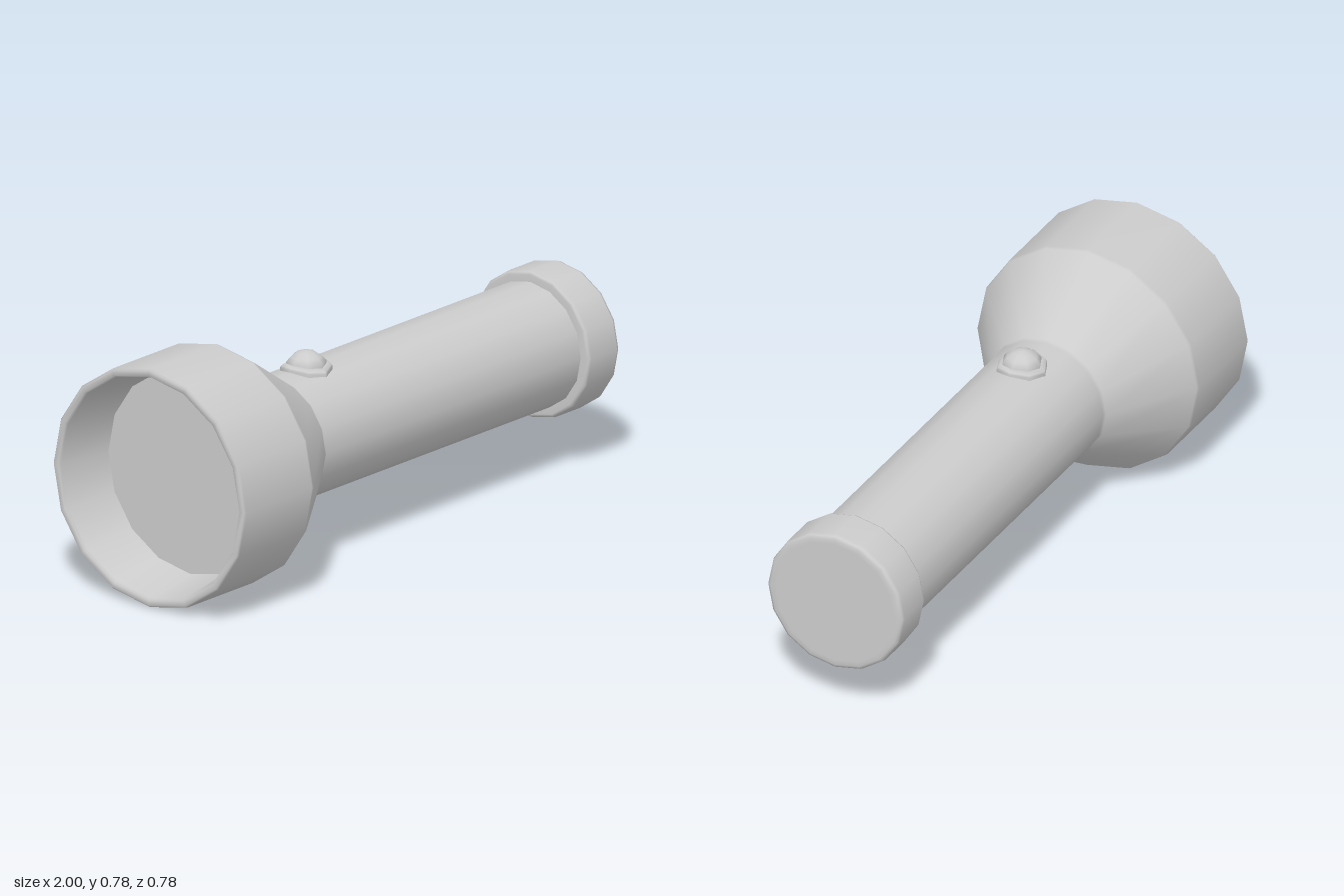
import * as THREE from 'three';

const AXIS_Y = 0.39; // height of the torch's long axis
const material = new THREE.MeshStandardMaterial({ color: 0xcccccc });

// Revolve a [radius, position] profile
function lathe(profile, sides) {
  return new THREE.LatheGeometry(profile.map(([r, t]) => new THREE.Vector2(r, t)), sides);
}

// Revolved part lying along x
function axialPart(name, profile) {
  const geometry = lathe(profile, 16);
  geometry.rotateZ(-Math.PI / 2);
  const mesh = new THREE.Mesh(geometry, material);
  mesh.name = name;
  mesh.position.y = AXIS_Y;
  return mesh;
}

export function createModel() {
  const group = new THREE.Group();
  group.name = 'flashlight';

  // Recessed lens
  group.add(axialPart('lens', [[0, -0.8], [0.335, -0.8]]));

  // Reflector wall, rim, flared head and handle in one shell
  group.add(axialPart('body', [
    [0.33, -0.8], [0.361, -0.99], [0.367, -1], [0.384, -1], [0.39, -0.993],
    [0.39, -0.675], [0.386, -0.664], [0.211, -0.396], [0.205, -0.385], [0.205, 0.87],
  ]));

  // Tail cap with rounded edges
  group.add(axialPart('tailCap', [
    [0.2, 0.85], [0.228, 0.85], [0.236, 0.853], [0.24, 0.861],
    [0.24, 0.984], [0.236, 0.995], [0.226, 1], [0.21, 1], [0, 1],
  ]));

  // Switch: a collar draped over the handle, and a domed button
  const switchGroup = new THREE.Group();
  switchGroup.name = 'switch';
  switchGroup.position.set(-0.235, 0, 0);

  const collarGeometry = lathe([[0.082, 0.575], [0.082, 0.602], [0.079, 0.608], [0.066, 0.613], [0.06, 0.606]], 8);
  const p = collarGeometry.attributes.position;
  for (let i = 0; i < p.count; i++) p.setY(i, p.getY(i) - p.getZ(i) ** 2 / 0.41);
  collarGeometry.computeVertexNormals();
  const collar = new THREE.Mesh(collarGeometry, material);
  collar.name = 'switchCollar';

  const button = new THREE.Mesh(
    lathe([[0.063, 0.585], [0.063, 0.612], [0.05, 0.628], [0.03, 0.642], [0.013, 0.647], [0, 0.648]], 8),
    material,
  );
  button.name = 'switchButton';
  switchGroup.add(collar, button);
  group.add(switchGroup);

  return group;
}
